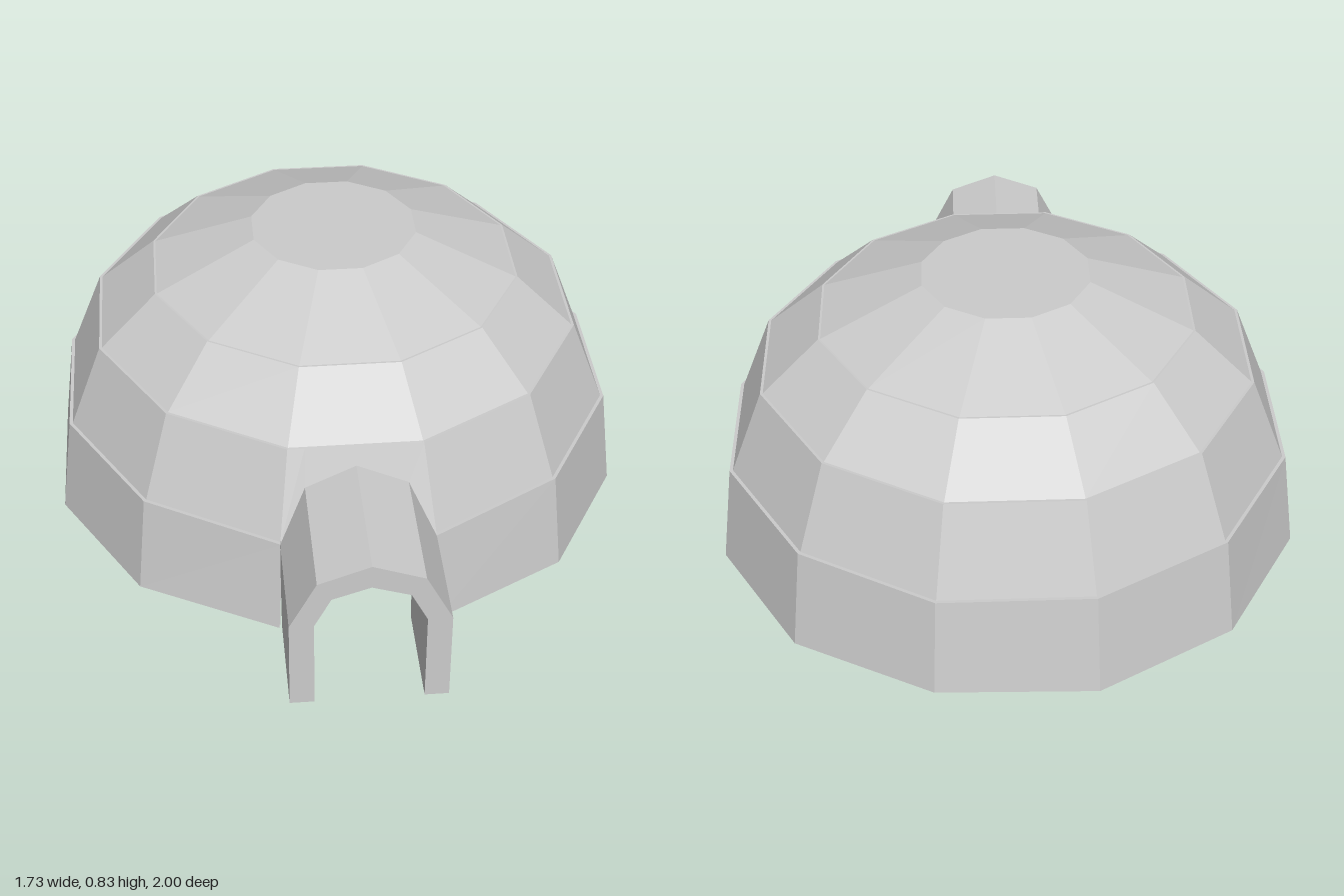
import * as THREE from 'three';

const SIDES = 12, HALF = Math.PI / SIDES, THICK = 0.014;
// Each course of blocks: bottom y, bottom radius, top y, top radius
const COURSES = [
  [0.01, 0.87, 0.31, 0.832],
  [0.31, 0.822, 0.56, 0.724],
  [0.56, 0.716, 0.71, 0.548],
  [0.71, 0.542, 0.83, 0.245],
];
// Slightly uneven ground line, one height per corner
const GROUND = [0.03, 0.03, 0.01, 0, 0.004, 0.005, 0.02, 0.008, 0.008, 0.01, 0.005, 0.01];
// Half-width and height of the tunnel arch
const OUTER = [[-0.217, 0.31], [-0.143, 0.455], [0, 0.507], [0.143, 0.455], [0.217, 0.31]];
const INNER = [[-0.15, 0.31], [-0.105, 0.4], [0, 0.435], [0.105, 0.4], [0.15, 0.31]];

const material = new THREE.MeshStandardMaterial({ color: 0xcccccc, flatShading: true, side: THREE.DoubleSide });

function meshFrom(positions, name) {
  const g = new THREE.BufferGeometry();
  g.setAttribute('position', new THREE.Float32BufferAttribute(positions, 3));
  g.computeVertexNormals();
  const m = new THREE.Mesh(g, material);
  m.name = name;
  return m;
}

// Two triangles, corners counter-clockwise seen from the front
function quad(out, a, b, c, d) {
  for (const p of [a, b, c, a, c, d]) out.push(...p);
}

const corner = (k, r, y) => {
  const a = (2 * k - 1) * HALF;
  return [r * Math.sin(a), y, r * Math.cos(a)];
};

// Distance of the flat door-side wall from the dome axis at height y
function wallDistance(y) {
  const [y0, r0, y1, r1] = COURSES[y <= 0.31 ? 0 : 1];
  return THREE.MathUtils.lerp(r0, r1, (y - y0) / (y1 - y0)) * Math.cos(HALF);
}

// One ring of thick panels; the door side is left open or cut to the arch
function course(index) {
  const [y0, r0, y1, r1] = COURSES[index];
  const out = [];
  for (let k = 0; k < SIDES; k++) {
    if (k === 0 && index === 0) continue;
    if (k === 0 && index === 1) {
      const w = r1 * Math.sin(HALF);
      const tops = [-w, -0.14, 0, 0.14, w];
      const low = (i, t) => [OUTER[i][0], OUTER[i][1], wallDistance(OUTER[i][1]) - t];
      const high = (i, t) => [tops[i], y1, wallDistance(y1) - t];
      for (let i = 0; i < 4; i++) {
        quad(out, low(i, 0), low(i + 1, 0), high(i + 1, 0), high(i, 0));
        quad(out, low(i + 1, THICK), low(i, THICK), high(i, THICK), high(i + 1, THICK));
      }
      continue;
    }
    const n = (k + 1) % SIDES;
    const ya = index ? y0 : GROUND[k], yb = index ? y0 : GROUND[n];
    const a = corner(k, r0, ya), b = corner(n, r0, yb);
    const c = corner(n, r1, y1), d = corner(k, r1, y1);
    const ai = corner(k, r0 - THICK, ya), bi = corner(n, r0 - THICK, yb);
    const ci = corner(n, r1 - THICK, y1), di = corner(k, r1 - THICK, y1);
    quad(out, a, b, c, d);
    quad(out, bi, ai, di, ci);
    quad(out, ai, bi, b, a);
    quad(out, d, c, ci, di);
  }
  return meshFrom(out, 'domeCourse' + (index + 1));
}

// Entrance tunnel: arch extruded, its back end fitted to the sloping wall
function tunnel() {
  const outline = [[-0.217, 0.028], ...OUTER, [0.217, 0.028], [0.15, 0.028], ...INNER.slice().reverse(), [-0.15, 0.028]];
  const shape = new THREE.Shape(outline.map(([x, y]) => new THREE.Vector2(x, y)));
  const g = new THREE.ExtrudeGeometry(shape, { depth: 1, bevelEnabled: false });
  const p = g.attributes.position;
  for (let i = 0; i < p.count; i++) {
    p.setZ(i, p.getZ(i) > 0.5 ? 1.127 : wallDistance(p.getY(i)) - 0.01);
  }
  g.computeVertexNormals();
  const m = new THREE.Mesh(g, material);
  m.name = 'entranceTunnel';
  return m;
}

export function createModel() {
  const model = new THREE.Group();
  model.name = 'igloo';
  const body = new THREE.Group();
  body.name = 'domeWithEntrance';
  COURSES.forEach((_, i) => body.add(course(i)));

  // Flat cap closing the top
  const cap = new THREE.Mesh(new THREE.CylinderGeometry(0.245, 0.265, 0.01, SIDES, 1, false, HALF), material);
  cap.position.y = 0.825;
  cap.name = 'roofCap';
  body.add(cap, tunnel());

  // The door faces a little to the model's left
  body.rotation.y = THREE.MathUtils.degToRad(21);
  body.position.z = -0.13;
  model.add(body);
  return model;
}
